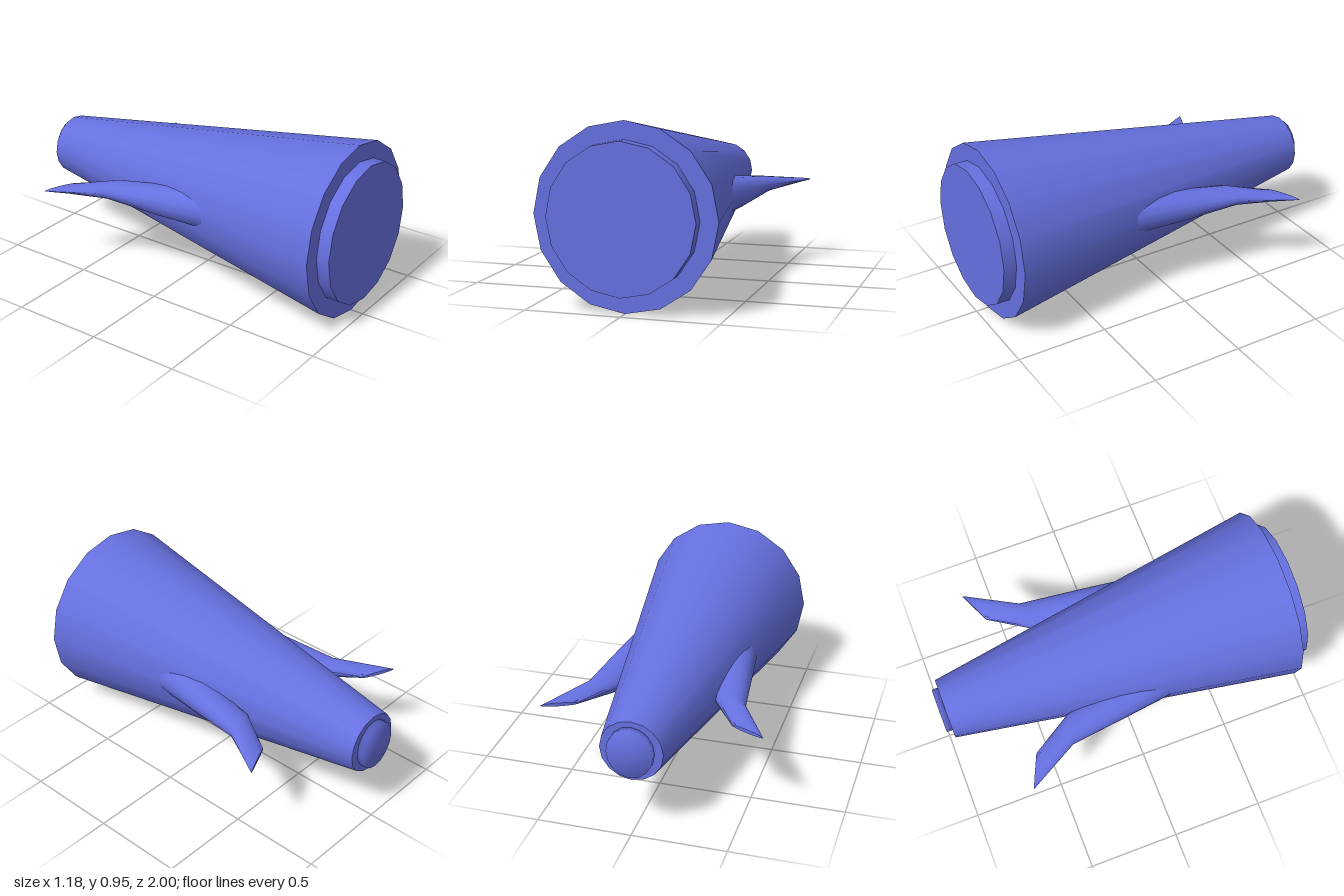
import * as THREE from 'three';
import { mergeVertices, toCreasedNormals } from 'three/addons/utils/BufferGeometryUtils.js';

const AXIS_Y = 0.478;
const material = new THREE.MeshStandardMaterial({ color: 0x6670e0 });

// Tapered 16-sided drum lying along z
function drum(name, frontRadius, backRadius, zFront, zBack, soft) {
  let geometry = new THREE.CylinderGeometry(frontRadius, backRadius, zFront - zBack, 16);
  geometry.rotateX(Math.PI / 2);
  if (soft) {
    // Share normals over the rim so the cap is shaded as a dome
    geometry.deleteAttribute('normal');
    geometry.deleteAttribute('uv');
    geometry = mergeVertices(geometry);
    geometry.computeVertexNormals();
  }
  const mesh = new THREE.Mesh(geometry, material);
  mesh.name = name;
  mesh.position.set(0, AXIS_Y, (zFront + zBack) / 2);
  return mesh;
}

// Loft of flattened oval sections: [inner x, inner z, outer x, outer z, half thickness]
function finGeometry(side) {
  const sections = [
    [0.12, 0.24, 0.352, 0.24, 0.11],
    [0.2, -0.06, 0.392, -0.06, 0.088],
    [0.265, -0.36, 0.435, -0.39, 0.05],
    [0.41, -0.59, 0.592, -0.67, 0.01],
  ];
  const n = 16, positions = [], index = [];
  for (const [xi, zi, xo, zo, h] of sections) {
    for (let i = 0; i < n; i++) {
      const a = (i / n) * Math.PI * 2;
      const t = (1 + Math.cos(a)) / 2;
      positions.push(side * (xi + (xo - xi) * t), Math.sin(a) * h, zi + (zo - zi) * t);
    }
  }
  const face = (a, b, c) => (side > 0 ? index.push(a, b, c) : index.push(a, c, b));
  for (let s = 0; s < sections.length - 1; s++) {
    for (let i = 0; i < n; i++) {
      const a = s * n + i, b = s * n + ((i + 1) % n);
      face(a, a + n, b);
      face(b, a + n, b + n);
    }
  }
  // Close both ends
  const last = (sections.length - 1) * n;
  for (let i = 1; i < n - 1; i++) {
    face(0, i, i + 1);
    face(last, last + i + 1, last + i);
  }
  const geometry = new THREE.BufferGeometry();
  geometry.setAttribute('position', new THREE.Float32BufferAttribute(positions, 3));
  geometry.setIndex(index);
  return toCreasedNormals(geometry, 0.9);
}

export function createModel() {
  const model = new THREE.Group();
  model.name = 'finnedCone';

  model.add(drum('body', 0.475, 0.165, 0.93, -0.967, false));
  model.add(drum('frontDisc', 0.382, 0.382, 1, 0.92, false));

  // Oval rear button
  const button = drum('rearButton', 0.135, 0.135, -0.955, -1, true);
  button.scale.x = 0.89;
  model.add(button);

  // Swept side fins
  for (const side of [1, -1]) {
    const fin = new THREE.Mesh(finGeometry(side), material);
    fin.name = side > 0 ? 'leftFin' : 'rightFin';
    fin.position.y = AXIS_Y;
    model.add(fin);
  }
  return model;
}
